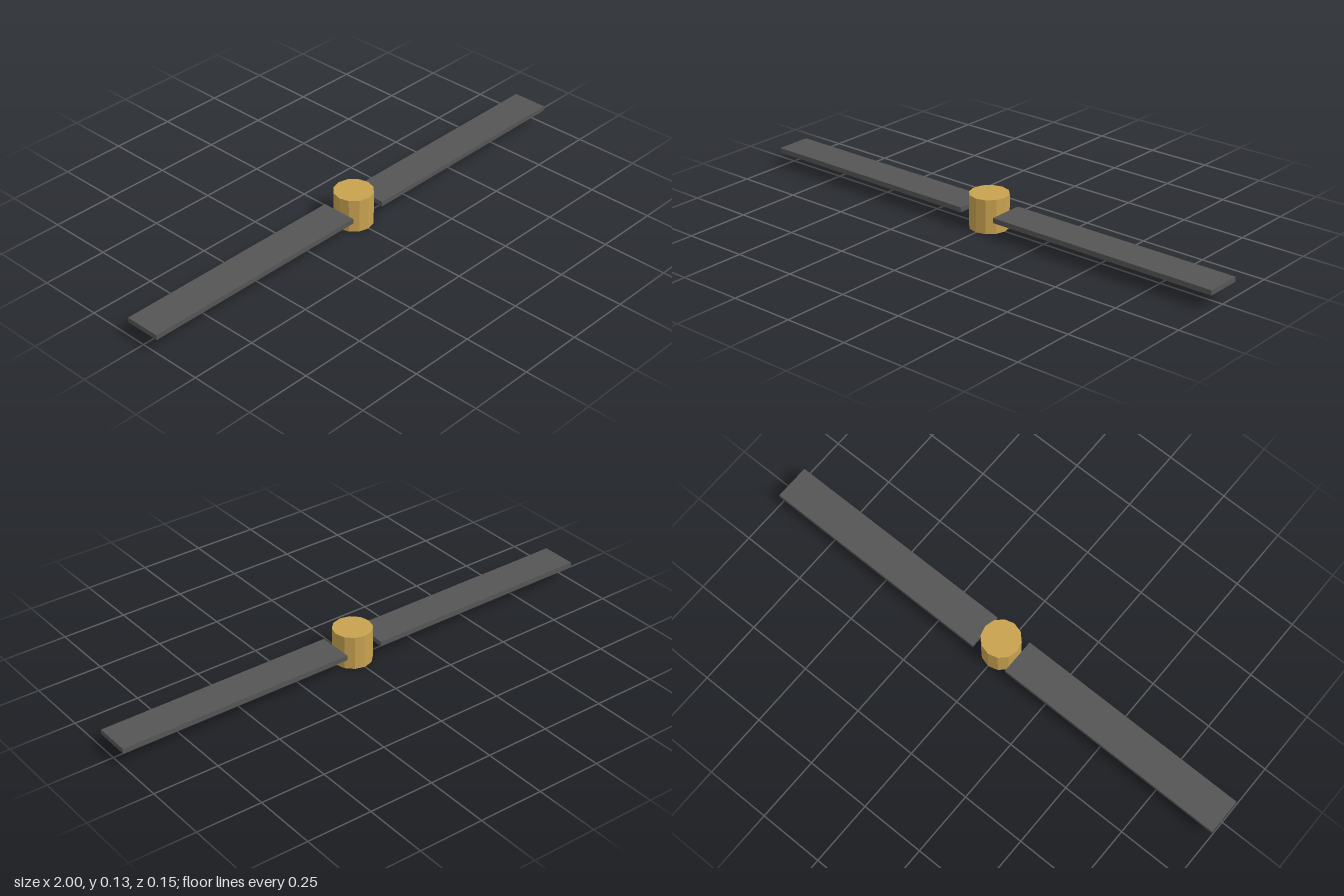
import * as THREE from 'three';

export function createModel() {
  const brass = new THREE.MeshStandardMaterial({ color: 0xc8a250, flatShading: true });
  brass.name = 'brass';
  const darkGrey = new THREE.MeshStandardMaterial({ color: 0x555555 });
  darkGrey.name = 'darkGrey';

  const group = new THREE.Group();
  group.name = 'propeller';

  // Twelve-sided hub
  const hub = new THREE.Mesh(new THREE.CylinderGeometry(0.074, 0.074, 0.13, 12), brass);
  hub.name = 'hub';
  hub.position.y = 0.065;
  group.add(hub);

  // Two flat blades reaching out from the hub
  const root = 0.075, tip = 1;
  const bladeGeometry = new THREE.BoxGeometry(tip - root, 0.019, 0.139);
  for (const side of [1, -1]) {
    const blade = new THREE.Mesh(bladeGeometry, darkGrey);
    blade.name = side > 0 ? 'leftBlade' : 'rightBlade';
    blade.position.set(side * (root + tip) / 2, 0.065, 0);
    group.add(blade);
  }
  return group;
}
